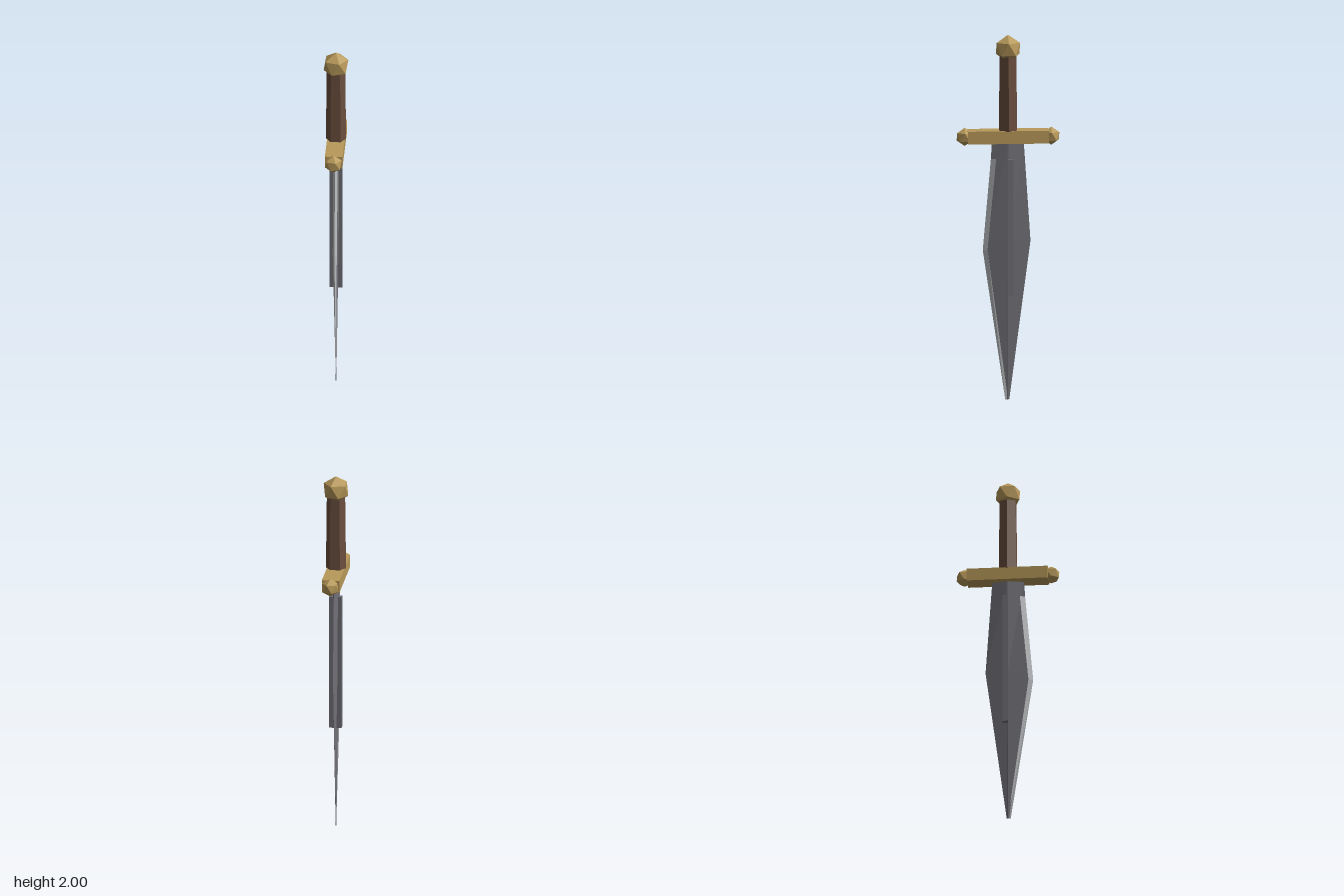
import * as THREE from 'three';

// Joins rings of [x, z] points, listed bottom to top, into a closed solid.
function loft(rings) {
  const pos = [];
  const n = rings[0].points.length;
  const put = (r, i) => {
    const [x, z] = rings[r].points[i % n];
    pos.push(x, rings[r].y, z);
  };
  for (let r = 0; r < rings.length - 1; r++) {
    for (let i = 0; i < n; i++) {
      put(r, i); put(r, i + 1); put(r + 1, i + 1);
      put(r, i); put(r + 1, i + 1); put(r + 1, i);
    }
  }
  const top = rings.length - 1;
  for (let i = 1; i < n - 1; i++) {
    put(top, 0); put(top, i); put(top, i + 1);
    put(0, 0); put(0, i + 1); put(0, i);
  }
  const geo = new THREE.BufferGeometry();
  geo.setAttribute('position', new THREE.Float32BufferAttribute(pos, 3));
  geo.computeVertexNormals();
  return geo;
}

// Icosahedron standing on one corner.
function knob(radius) {
  const t = (1 + Math.sqrt(5)) / 2;
  return new THREE.IcosahedronGeometry(radius, 0).rotateZ(-Math.atan(1 / t));
}

export function createModel() {
  const group = new THREE.Group();
  const material = (name, color) => {
    const m = new THREE.MeshStandardMaterial({ color, flatShading: true });
    m.name = name;
    return m;
  };
  const gold = material('gold', 0xb8995a);
  const leather = material('brown leather', 0x6b4f3e);
  const steel = material('dark steel', 0x707077);
  const bright = material('bright steel', 0xbcbec0);

  const add = (name, geo, mat, x = 0, y = 0, z = 0) => {
    const mesh = new THREE.Mesh(geo, mat);
    mesh.name = name;
    mesh.position.set(x, y, z);
    group.add(mesh);
  };

  // Hilt
  add('pommel', knob(0.075), gold, 0, 1.925, 0);
  const grip = new THREE.CylinderGeometry(0.05, 0.055, 0.42, 6).rotateY(Math.PI / 2);
  add('grip', grip, leather, 0, 1.685, 0);
  add('crossguard', new THREE.BoxGeometry(0.095, 0.07, 0.44), gold, 0, 1.443, 0);
  for (const side of [1, -1]) {
    add(side > 0 ? 'frontGuardKnob' : 'backGuardKnob', knob(0.05), gold, 0, 1.443, side * 0.235);
  }

  // Diamond-section blade: height, back z, front z, half thickness
  const blade = [
    [0, -0.007, 0.009, 0.002],
    [0.87, -0.122, 0.12, 0.015],
    [1.42, -0.085, 0.087, 0.018],
  ].map(([y, back, front, t]) => ({ y, points: [[t, 0], [0, back], [-t, 0], [0, front]] }));
  add('blade', loft(blade), steel);

  // Sharpened wedge along the front edge: height, inner z, outer z, half thickness
  const edge = [
    [0, 0, 0.015, 0.001],
    [0.82, 0.112, 0.137, 0.011],
    [1.32, 0.065, 0.093, 0.013],
  ].map(([y, inner, outer, t]) => ({ y, points: [[t, inner], [-t, inner], [0, outer]] }));
  add('cuttingEdge', loft(edge), bright);

  // Raised rib through both faces
  add('bladeRib', new THREE.BoxGeometry(0.068, 0.75, 0.03), steel, 0, 0.943, -0.013);

  return group;
}
